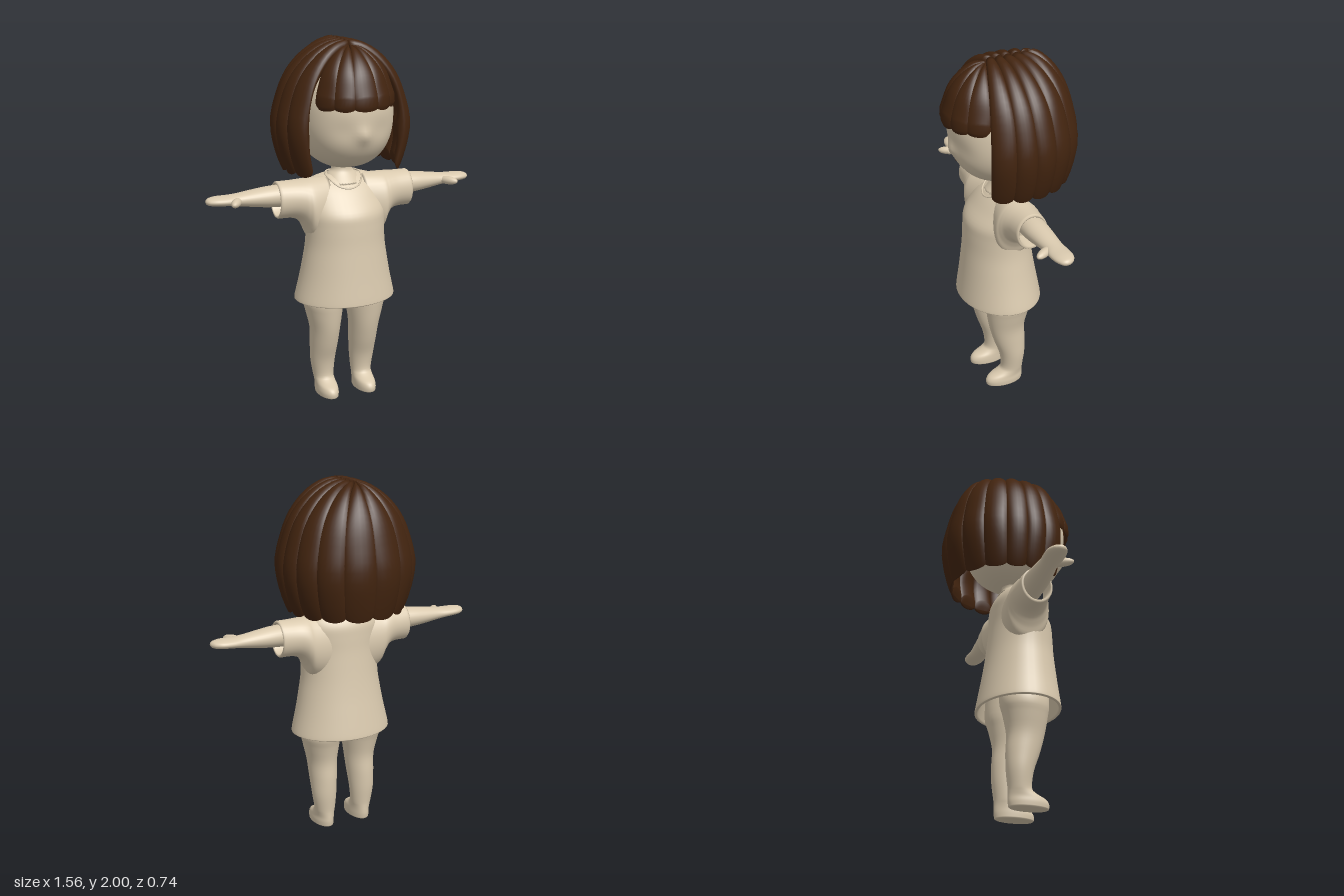
import * as THREE from 'three';

const V = (x, y, z) => new THREE.Vector3(x, y, z);
const TAU = Math.PI * 2, DEG = Math.PI / 180;

// Smoothly adds rows between the given section rows
function smooth(rows, steps) {
  const curves = rows[0].map((_, c) => new THREE.SplineCurve(rows.map((r, i) => new THREE.Vector2(i, r[c]))));
  const n = (rows.length - 1) * steps;
  return Array.from({ length: n + 1 }, (_, i) => curves.map((k) => k.getPoint(i / n).y));
}

// Skin over closed rings of points, optionally closed at the first and last ring
function loft(rings, capStart = true, capEnd = true) {
  const n = rings[0].length;
  const collapse = (ring) => {
    const c = ring.reduce((s, p) => s.add(p), V(0, 0, 0)).divideScalar(n);
    return ring.map(() => c.clone());
  };
  const all = [...rings];
  if (capStart) all.unshift(collapse(rings[0]));
  if (capEnd) all.push(collapse(rings[rings.length - 1]));
  const index = [];
  for (let i = 0; i < all.length - 1; i++) {
    for (let j = 0; j < n; j++) {
      const a = i * n + j, b = i * n + (j + 1) % n, c = a + n, d = b + n;
      index.push(a, c, b, b, c, d);
    }
  }
  const geo = new THREE.BufferGeometry().setFromPoints(all.flat());
  geo.setIndex(index);
  geo.computeVertexNormals();
  return geo;
}

const around = (n, f) => Array.from({ length: n }, (_, i) => f(i / n * TAU));

// Horizontal ellipse: [y, x0, x1, zBack, zFront]
const ringY = ([y, x0, x1, z0, z1]) => around(40, (u) =>
  V((x0 + x1) / 2 + (x1 - x0) / 2 * Math.cos(u), y, (z0 + z1) / 2 + (z1 - z0) / 2 * Math.sin(u)));

// Upright ellipse across x: [x, yBottom, yTop, zBack, zFront]
const ringX = ([x, y0, y1, z0, z1]) => around(32, (u) =>
  V(x, (y0 + y1) / 2 + (y1 - y0) / 2 * Math.cos(u), (z0 + z1) / 2 - (z1 - z0) / 2 * Math.sin(u)));

function mirrored(geo) {
  const m = geo.clone().scale(-1, 1, 1);
  const ix = m.index.array;
  for (let i = 0; i < ix.length; i += 3) [ix[i], ix[i + 1]] = [ix[i + 1], ix[i]];
  m.computeVertexNormals();
  return m;
}

// One rounded lock of hair running from the crown down to its tip
function lock(a0, a1, { profile, rx, rz, zc, pole, out, inn }) {
  const curve = new THREE.SplineCurve(profile.map(([r, y]) => new THREE.Vector2(r, y)));
  const mid = (a0 + a1) / 2 * DEG, half = (a1 - a0) / 2 * DEG * 1.13;
  const ts = Array.from({ length: 23 }, (_, i) => 0.01 + i / 23);
  ts.push(0.975, 0.987, 0.995, 1);
  return loft(ts.map((t) => {
    const p = curve.getPoint(t), d = curve.getTangent(t);
    const nr = -d.y, ny = d.x;
    const tip = t < 0.95 ? 1 : Math.sqrt(Math.max(0.02, 1 - ((t - 0.95) / 0.05) ** 2));
    const w = half * (0.35 + 0.65 * tip);
    const s = Math.hypot(nr * rx, ny) || 1;
    return around(20, (u) => {
      const a = mid - w * Math.cos(u), k = Math.sin(u);
      const depth = k * (k > 0 ? out : inn) * tip;
      const zp = pole(a);
      const off = depth * nr * rx / s;
      return V(Math.sin(a) * (rx * p.x + off),
        p.y + depth * ny / s,
        zp + (zc + rz * Math.cos(a) - zp) * p.x + off * Math.cos(a));
    });
  }));
}

export function createModel() {
  const model = new THREE.Group();
  const beige = new THREE.MeshStandardMaterial({ color: 0xd9c9ae });
  const brown = new THREE.MeshStandardMaterial({ color: 0x42240f });
  beige.name = 'beige';
  brown.name = 'darkBrown';

  const add = (name, geo, mat = beige, parent = model) => {
    const m = new THREE.Mesh(geo, mat);
    m.name = name;
    parent.add(m);
    return m;
  };
  const pair = (name, geo) => {
    add(name + 'Left', geo);
    add(name + 'Right', mirrored(geo));
  };

  // Head: squarish ellipsoid with a small nose and shallow eye hollows
  const head = new THREE.SphereGeometry(1, 64, 48);
  const pos = head.attributes.position;
  for (let i = 0; i < pos.count; i++) {
    const p = V(0, 0, 0).fromBufferAttribute(pos, i);
    const e = 2.3;
    const k = (Math.abs(p.x) ** e + Math.abs(p.y) ** e + Math.abs(p.z) ** e) ** (-1 / e);
    p.multiplyScalar(k).multiply(V(0.255, 0.3, 0.285));
    if (p.z > 0) {
      p.z += 0.02 * Math.exp(-((p.x / 0.035) ** 2) - ((p.y + 0.09) / 0.04) ** 2);
      p.z -= 0.01 * Math.exp(-(((Math.abs(p.x) - 0.11) / 0.07) ** 2) - ((p.y + 0.06) / 0.06) ** 2);
    }
    pos.setXYZ(i, p.x, p.y + 1.612, p.z + 0.045);
  }
  head.computeVertexNormals();
  add('head', head);

  // Neck, flaring into the shoulders
  add('neck', loft(smooth([
    [1.22, -0.11, 0.11, -0.06, 0.13], [1.265, -0.085, 0.085, -0.045, 0.09],
    [1.29, -0.06, 0.06, -0.03, 0.075], [1.32, -0.06, 0.06, -0.03, 0.075], [1.37, -0.09, 0.09, -0.06, 0.1],
  ], 4).map(ringY)));

  // Dress body with a folded hem that is open underneath
  const hem = [[0.8, -0.21, 0.21, -0.1, 0.23], [0.58, -0.268, 0.268, -0.148, 0.273], [0.57, -0.276, 0.276, -0.158, 0.282]];
  const body = smooth([
    [0.575, -0.287, 0.287, -0.167, 0.291], [0.6, -0.283, 0.283, -0.164, 0.289], [0.7, -0.26, 0.26, -0.146, 0.277],
    [0.8, -0.241, 0.241, -0.128, 0.266], [0.9, -0.226, 0.226, -0.113, 0.256], [1.0, -0.224, 0.224, -0.101, 0.25],
    [1.07, -0.228, 0.228, -0.094, 0.239], [1.14, -0.228, 0.228, -0.09, 0.19], [1.2, -0.22, 0.22, -0.084, 0.143],
    [1.245, -0.19, 0.19, -0.062, 0.095], [1.268, -0.12, 0.12, -0.04, 0.06],
  ], 4);
  add('dressBody', loft([...hem, ...body].map(ringY), false));

  // Sleeves, flowing out of the body and hollow at the cuff
  const sleeve = smooth([
    [0.1, 0.9, 1.262, -0.07, 0.15], [0.2, 0.92, 1.262, -0.077, 0.17], [0.235, 0.985, 1.26, -0.075, 0.16],
    [0.265, 1.03, 1.258, -0.068, 0.148], [0.31, 1.05, 1.256, -0.058, 0.137], [0.385, 1.052, 1.256, -0.05, 0.128],
  ], 5);
  const cuff = [[0.392, 1.058, 1.25, -0.045, 0.122], [0.388, 1.068, 1.242, -0.036, 0.114], [0.28, 1.075, 1.24, -0.035, 0.113]];
  pair('sleeve', loft([...sleeve, ...cuff].map(ringX), true, false));

  // Neckline seam
  const half = [[0.055, 1.214, 0.128], [0.09, 1.245, 0.085], [0.1, 1.27, 0.03], [0.06, 1.275, -0.03]];
  const seam = [V(0, 1.203, 0.143), ...half.map((p) => V(...p)), V(0, 1.272, -0.045),
    ...half.slice().reverse().map(([x, y, z]) => V(-x, y, z))];
  add('neckline', new THREE.TubeGeometry(new THREE.CatmullRomCurve3(seam, true), 60, 0.005, 6, true));

  // Arms with mitten hands
  pair('arm', loft(smooth([
    [0.2, 1.11, 1.24, -0.03, 0.1], [0.4, 1.117, 1.235, -0.036, 0.1], [0.5, 1.127, 1.225, -0.033, 0.09],
    [0.6, 1.142, 1.211, -0.026, 0.078], [0.66, 1.15, 1.206, -0.03, 0.084], [0.72, 1.155, 1.205, -0.028, 0.08],
    [0.757, 1.16, 1.2, -0.01, 0.066], [0.772, 1.167, 1.193, 0.008, 0.052], [0.778, 1.177, 1.184, 0.022, 0.038],
  ], 4).map(ringX)));
  const thumb = new THREE.SphereGeometry(1, 20, 14).scale(0.025, 0.023, 0.062);
  thumb.rotateY(0.55).translate(0.628, 1.176, 0.09);
  pair('thumb', thumb);

  // Legs and feet in one piece, with flat soles
  const leg = smooth([
    [0.004, 0.058, 0.172, -0.03, 0.188], [0.03, 0.057, 0.174, -0.034, 0.19], [0.055, 0.058, 0.172, -0.034, 0.172],
    [0.08, 0.06, 0.172, -0.033, 0.12], [0.11, 0.058, 0.176, -0.034, 0.094], [0.2, 0.05, 0.19, -0.044, 0.104],
    [0.3, 0.042, 0.196, -0.046, 0.138], [0.4, 0.035, 0.203, -0.042, 0.165], [0.5, 0.022, 0.226, -0.062, 0.182],
    [0.58, 0.014, 0.238, -0.082, 0.19], [0.75, 0.005, 0.2, -0.08, 0.19],
  ], 4);
  pair('leg', loft([[0, 0.064, 0.166, -0.024, 0.18], ...leg].map(ringY)));

  // Bob haircut: locks hanging from a short parting around the sides and back
  const hair = new THREE.Group();
  hair.name = 'hair';
  model.add(hair);
  const bob = {
    profile: [[0, 1.968], [0.25, 1.954], [0.5, 1.91], [0.72, 1.84], [0.87, 1.76], [0.965, 1.66],
      [1, 1.56], [0.985, 1.46], [0.94, 1.38], [0.87, 1.312]],
    rx: 0.35, rz: 0.342, zc: 0, pole: (a) => 0.03 + 0.15 * Math.cos(a), out: 0.034, inn: 0.055,
  };
  const cuts = [52, 72, 90, 109, 130, 153, 180];
  for (let i = 0; i < cuts.length - 1; i++) {
    const g = lock(cuts[i], cuts[i + 1], bob);
    add('bobLockLeft' + (i + 1), g, brown, hair);
    add('bobLockRight' + (i + 1), mirrored(g), brown, hair);
  }

  // Fringe fanning over the forehead
  const fringe = {
    profile: [[0, 1.955], [0.3, 1.945], [0.6, 1.9], [0.83, 1.835], [0.96, 1.76], [1, 1.71], [0.99, 1.672]],
    rx: 0.228, rz: 0.235, zc: 0.118, pole: () => 0.12, out: 0.022, inn: 0.03,
  };
  const fan = [-70, -42, -16, 16, 42, 70];
  for (let i = 0; i < fan.length - 1; i++) add('fringeLock' + (i + 1), lock(fan[i], fan[i + 1], fringe), brown, hair);

  return model;
}
